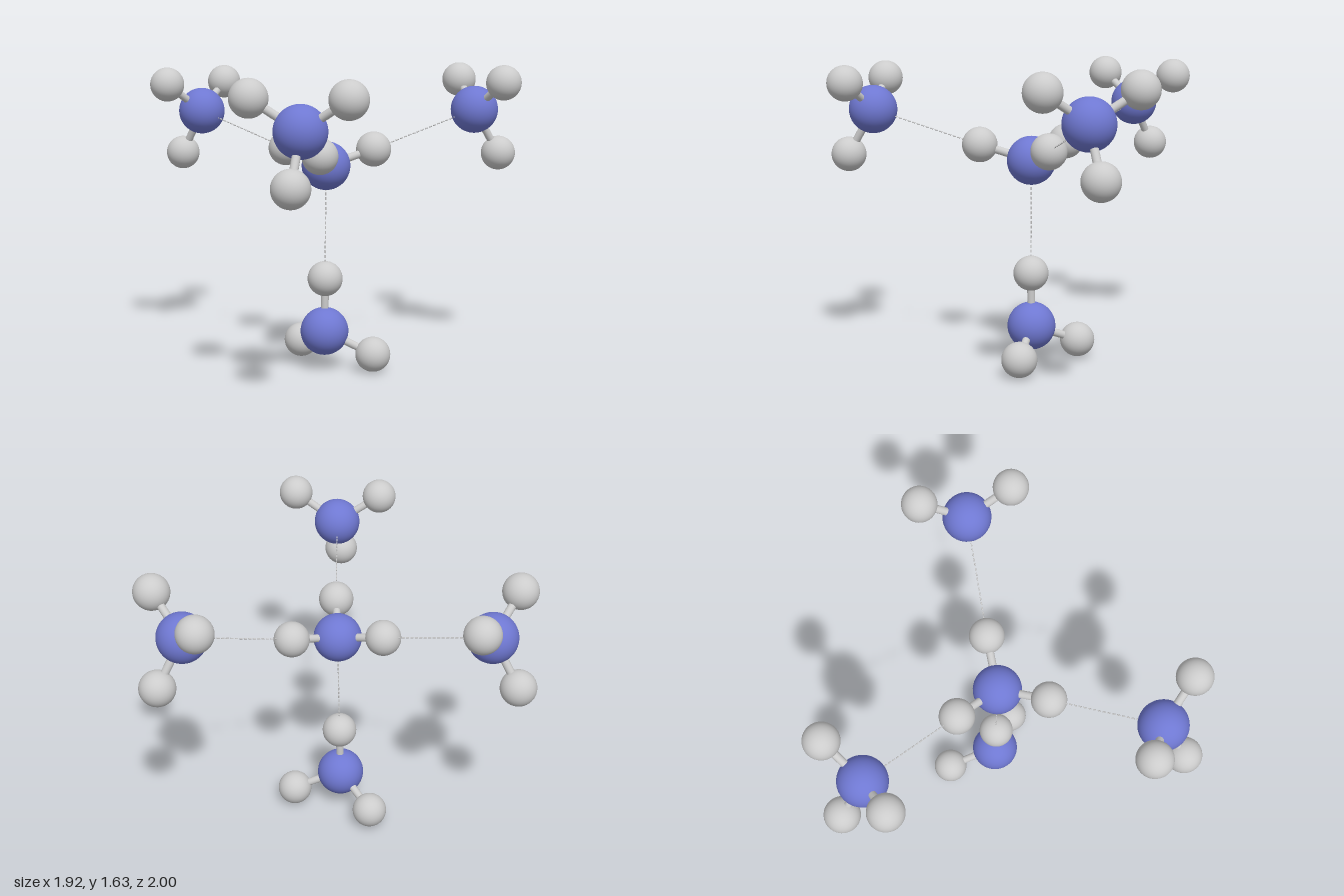
import * as THREE from 'three';

const NITROGEN_R = 0.129, HYDROGEN_R = 0.094, BOND_R = 0.021, DASH_R = 0.0035;
const DASH = 0.016, PERIOD = 0.026;

const blue = new THREE.MeshStandardMaterial({ color: 0x6f78d2 });
const grey = new THREE.MeshStandardMaterial({ color: 0xcccccc });

// Each molecule: a nitrogen centre and its three hydrogens
const molecules = {
  centralMolecule: {
    n: [0.17, 1.11, -0.005],
    h: [[-0.105, 1.188, -0.015], [0.313, 1.188, -0.243], [0.306, 1.188, 0.237]],
  },
  lowerMolecule: {
    n: [0.167, 0.214, 0],
    h: [[0.17, 0.502, 0], [-0.078, 0.107, -0.12], [0.403, 0.097, -0.117]],
  },
  rightMolecule: {
    n: [-0.715, 1.362, -0.026],
    h: [[-0.869, 1.116, -0.034], [-0.753, 1.518, -0.268], [-0.759, 1.518, 0.212]],
  },
  backMolecule: {
    n: [0.637, 1.386, -0.751],
    h: [[0.448, 1.541, -0.906], [0.863, 1.541, -0.661], [0.718, 1.141, -0.883]],
  },
  frontMolecule: {
    n: [0.576, 1.364, 0.762],
    h: [[0.366, 1.517, 0.883], [0.815, 1.517, 0.714], [0.628, 1.116, 0.905]],
  },
};

function ball(name, position, radius, material) {
  const mesh = new THREE.Mesh(new THREE.SphereGeometry(radius, 40, 28), material);
  mesh.name = name;
  mesh.position.copy(position);
  return mesh;
}

// Cylinder spanning two points
function rod(name, a, b, radius, sides) {
  const dir = b.clone().sub(a);
  const mesh = new THREE.Mesh(new THREE.CylinderGeometry(radius, radius, dir.length(), sides), grey);
  mesh.name = name;
  mesh.position.copy(a).lerp(b, 0.5);
  mesh.quaternion.setFromUnitVectors(new THREE.Vector3(0, 1, 0), dir.normalize());
  return mesh;
}

function molecule(name, { n, h }) {
  const group = new THREE.Group();
  group.name = name;
  const centre = new THREE.Vector3(...n);
  group.add(ball('nitrogen', centre, NITROGEN_R, blue));
  for (const p of h) {
    const end = new THREE.Vector3(...p);
    group.add(ball('hydrogen', end, HYDROGEN_R, grey), rod('bond', centre, end, BOND_R, 20));
  }
  return group;
}

// Row of short thin rods from a hydrogen's surface to a neighbouring nitrogen
function dashedLink(hydrogen, nitrogen) {
  const group = new THREE.Group();
  group.name = 'hydrogenBond';
  const a = new THREE.Vector3(...hydrogen), b = new THREE.Vector3(...nitrogen);
  const length = a.distanceTo(b);
  for (let d = HYDROGEN_R - DASH / 2; d < length - NITROGEN_R; d += PERIOD) {
    const start = a.clone().lerp(b, d / length);
    const end = a.clone().lerp(b, (d + DASH) / length);
    group.add(rod('dash', start, end, DASH_R, 8));
  }
  return group;
}

export function createModel() {
  const model = new THREE.Group();
  model.name = 'moleculeCluster';
  for (const [name, data] of Object.entries(molecules)) model.add(molecule(name, data));

  const { centralMolecule: c, lowerMolecule: l, rightMolecule: r, backMolecule: b, frontMolecule: f } = molecules;
  model.add(
    dashedLink(c.h[0], r.n),
    dashedLink(c.h[1], b.n),
    dashedLink(c.h[2], f.n),
    dashedLink(l.h[0], c.n),
  );
  return model;
}
